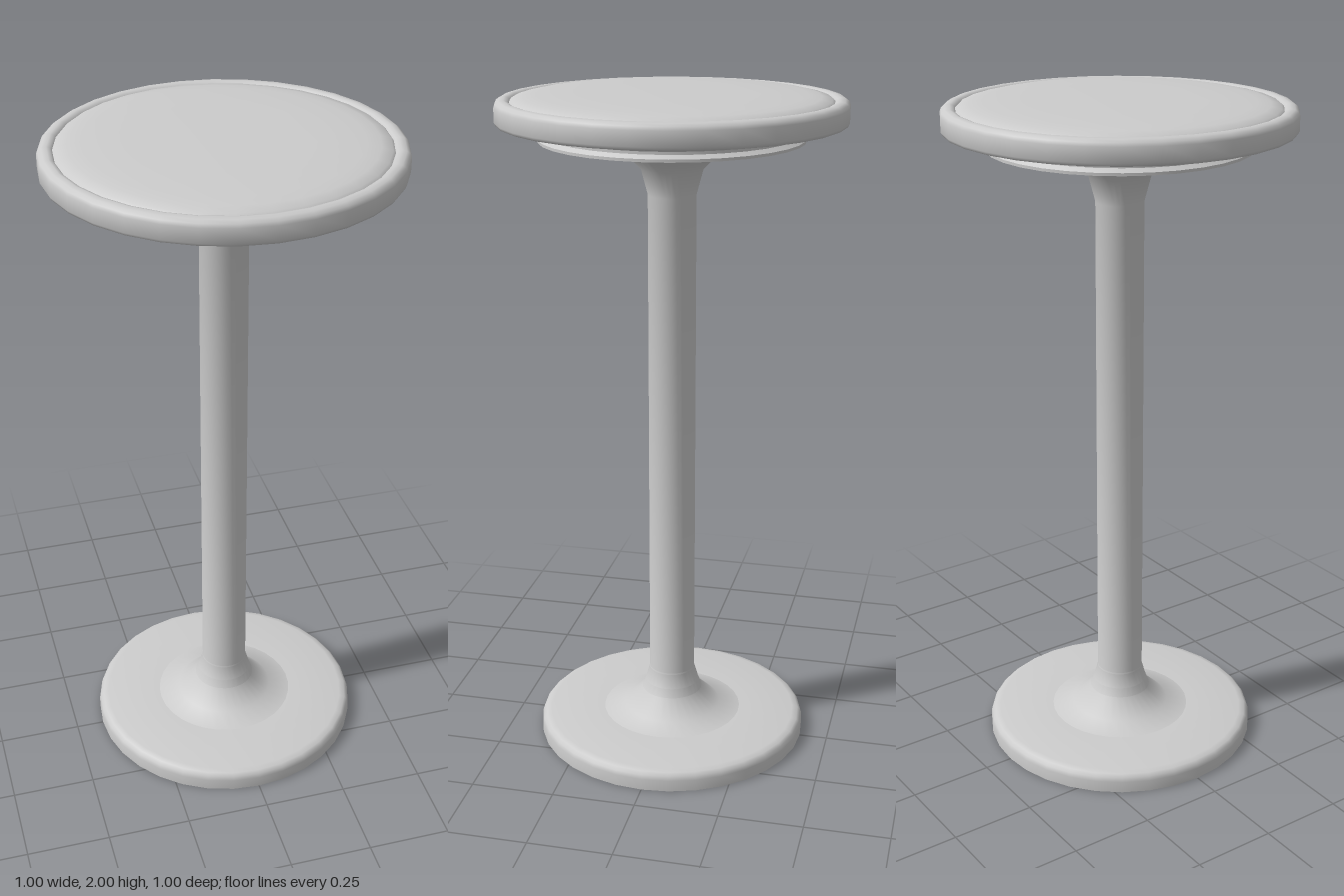
import * as THREE from 'three';
import { toCreasedNormals } from 'three/addons/utils/BufferGeometryUtils.js';

const SIDES = 32;
const material = new THREE.MeshStandardMaterial({ color: 0xcccccc, side: THREE.DoubleSide });

// Turned part from [radius, height] pairs, listed from the underside outwards and up
function turned(name, profile) {
  const points = profile.map(([r, y]) => new THREE.Vector2(r, y));
  const geometry = toCreasedNormals(new THREE.LatheGeometry(points, SIDES), Math.PI / 4);
  const mesh = new THREE.Mesh(geometry, material);
  mesh.name = name;
  return mesh;
}

export function createModel() {
  const table = new THREE.Group();
  table.name = 'pedestalTable';

  // Foot: hollow underneath, with a soft upper edge
  table.add(turned('base', [
    [0.06, 0.26], [0.075, 0.18], [0.1, 0.115], [0.15, 0.06], [0.22, 0.025], [0.31, 0.007], [0.415, 0],
    [0.415, 0.035], [0.411, 0.048], [0.402, 0.056], [0.385, 0.06], [0.215, 0.063],
  ]));

  // Column flaring into the foot and into the plate below the top
  table.add(turned('column', [
    [0.215, 0.063], [0.15, 0.08], [0.09, 0.135], [0.07, 0.205],
    [0.07, 1.71], [0.09, 1.785], [0.15, 1.845], [0.22, 1.865],
  ]));

  // Support plate: shallow recess below, lip, and a groove around its edge
  table.add(turned('supportPlate', [
    [0.22, 1.865], [0.3, 1.88], [0.355, 1.892],
    [0.372, 1.866], [0.38, 1.866], [0.38, 1.874], [0.367, 1.884], [0.367, 1.892], [0.378, 1.902], [0.38, 1.915],
  ]));

  // Round top with a rolled rim
  table.add(turned('topRim', [
    [0.36, 1.914], [0.488, 1.914], [0.496, 1.917], [0.5, 1.925],
    [0.5, 1.966], [0.496, 1.976], [0.486, 1.983], [0.472, 1.985], [0.462, 1.982], [0.457, 1.976],
  ]));

  // Slightly domed surface set inside the rim
  table.add(turned('topSurface', [
    [0.457, 1.976], [0.45, 1.983], [0.42, 1.99], [0.38, 1.995], [0.25, 1.999], [0, 2],
  ]));

  return table;
}
